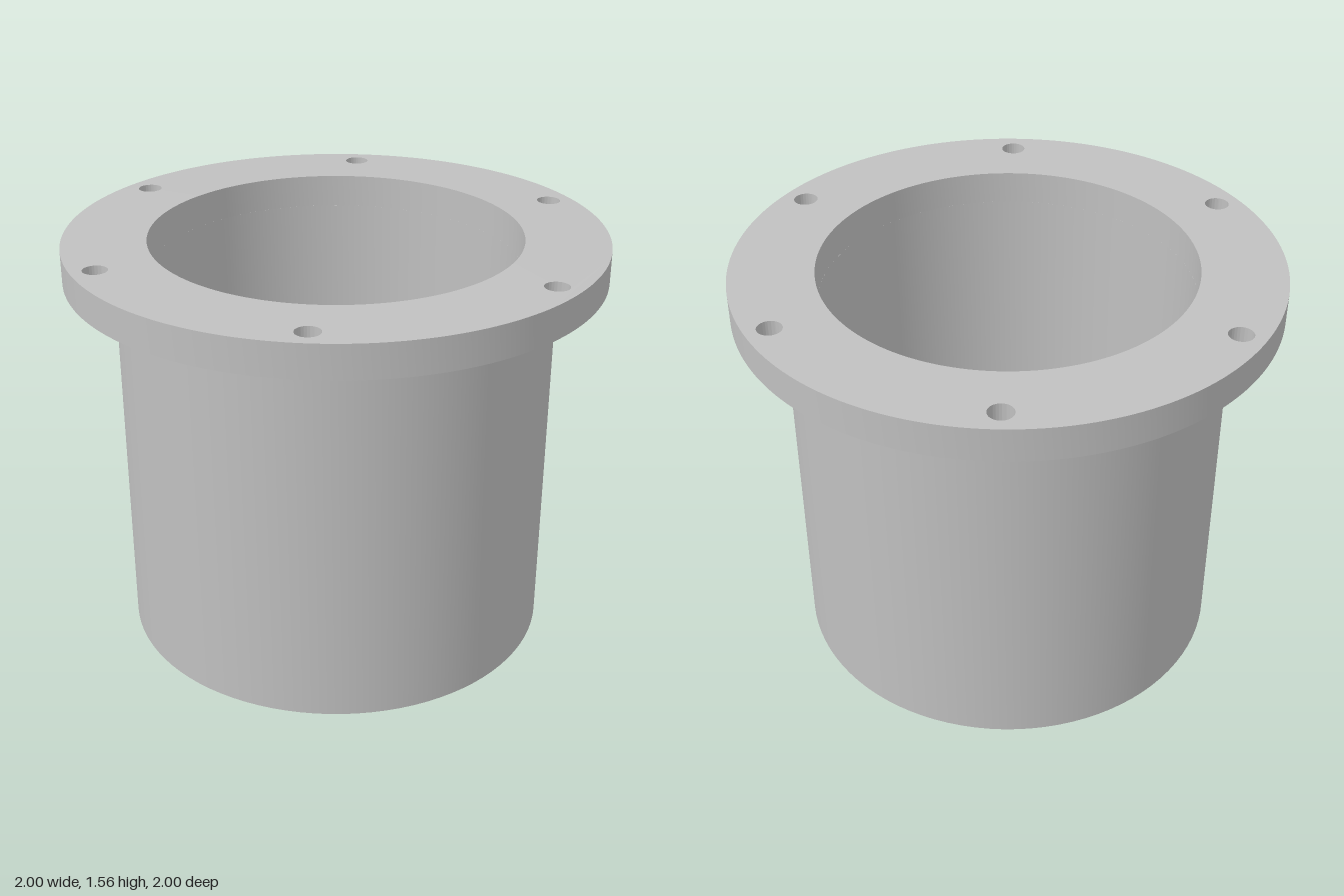
import * as THREE from 'three';
import { toCreasedNormals } from 'three/addons/utils/BufferGeometryUtils.js';

const SEGMENTS = 96;
const FLANGE_BOTTOM = 1.435;
const HEIGHT = 1.56;
const BORE = 0.69;

// Circular hole for a shape
function circleHole(x, y, radius) {
  const hole = new THREE.Path();
  hole.absarc(x, y, radius, 0, Math.PI * 2, true);
  return hole;
}

export function createModel() {
  const model = new THREE.Group();
  model.name = 'flangedCup';
  const steel = new THREE.MeshStandardMaterial({ color: 0xc0c0c0 });
  steel.name = 'grey steel';

  // Cup: outer wall, bore and closed floor
  const profile = [
    [0, 0], [0.815, 0], [0.815, FLANGE_BOTTOM],
    [BORE, FLANGE_BOTTOM], [BORE, 0.125], [0, 0.125],
  ].map(([x, y]) => new THREE.Vector2(x, y));
  const cup = new THREE.Mesh(
    toCreasedNormals(new THREE.LatheGeometry(profile, SEGMENTS), 0.6), steel);
  cup.name = 'cup';

  // Flange: ring with six bolt holes
  const ring = new THREE.Shape();
  ring.absarc(0, 0, 1, 0, Math.PI * 2, false);
  ring.holes.push(circleHole(0, 0, BORE));
  for (let i = 0; i < 6; i++) {
    const a = (i * Math.PI) / 3;
    ring.holes.push(circleHole(0.91 * Math.cos(a), 0.91 * Math.sin(a), 0.045));
  }
  const flangeGeometry = new THREE.ExtrudeGeometry(ring, {
    depth: HEIGHT - FLANGE_BOTTOM, bevelEnabled: false, curveSegments: SEGMENTS,
  });
  flangeGeometry.rotateX(-Math.PI / 2).translate(0, FLANGE_BOTTOM, 0);
  const flange = new THREE.Mesh(toCreasedNormals(flangeGeometry, 0.6), steel);
  flange.name = 'flange';

  model.add(cup, flange);
  return model;
}
